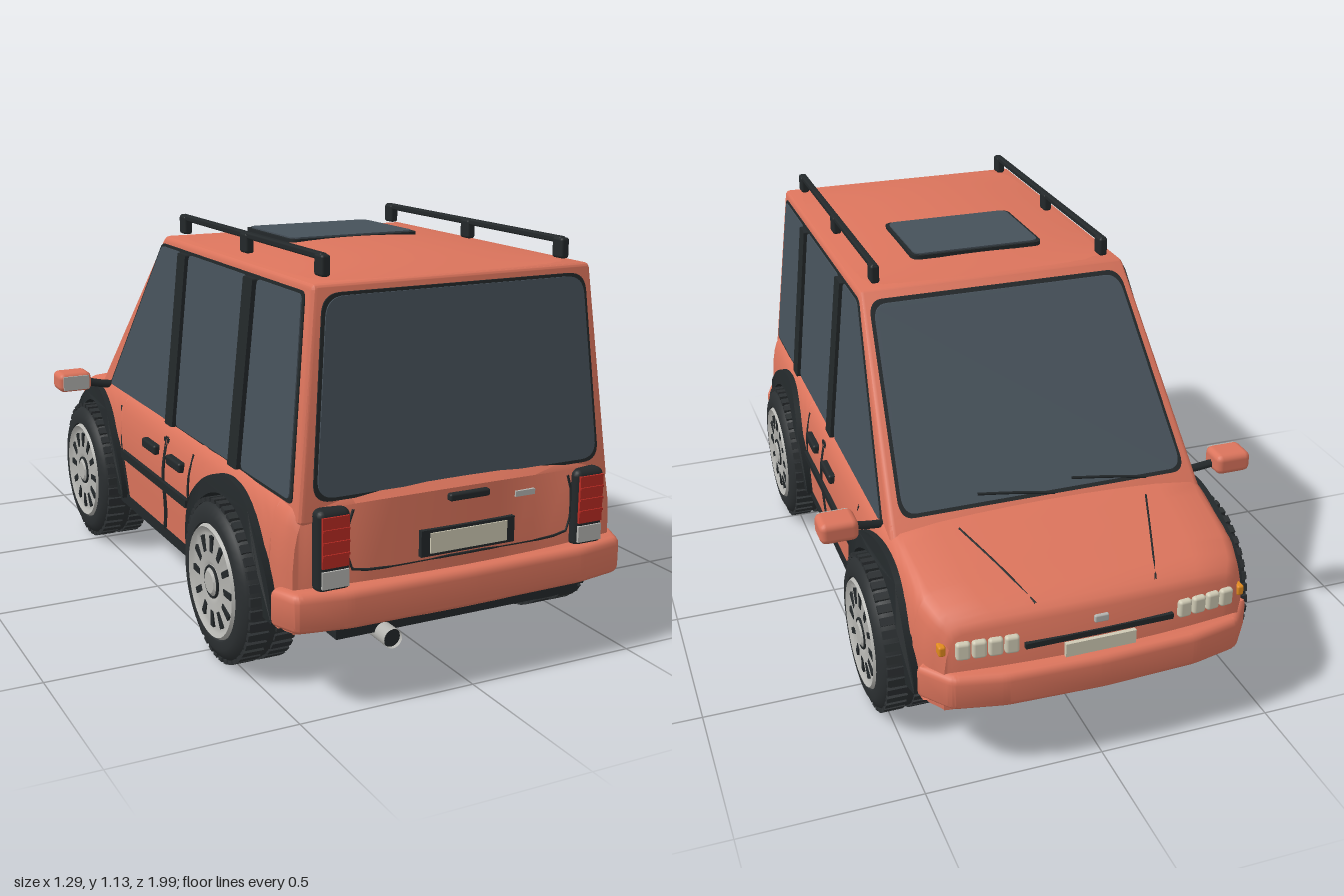
import * as THREE from 'three';
import { toCreasedNormals } from 'three/addons/utils/BufferGeometryUtils.js';
import { RoundedBoxGeometry } from 'three/addons/geometries/RoundedBoxGeometry.js';

const mat = (color) => new THREE.MeshStandardMaterial({ color, side: THREE.DoubleSide });
const paint = mat(0xdb745c), glass = mat(0x46515a), black = mat(0x23282a), rubber = mat(0x2b2f31),
  metal = mat(0xb4b4b0), red = mat(0xb82a22), cream = mat(0xcfcab4), amber = mat(0xe08a1e);

const lerp = THREE.MathUtils.lerp;
// Piecewise linear function through [input, output] pairs
const table = (pts) => (v) => {
  if (v <= pts[0][0]) return pts[0][1];
  for (let i = 1; i < pts.length; i++) {
    const [a, fa] = pts[i - 1], [b, fb] = pts[i];
    if (v <= b) return lerp(fa, fb, (v - a) / (b - a));
  }
  return pts[pts.length - 1][1];
};
// Lower body rules: half width and top height along z, rounding below the top, curved ends
const halfWidth = table([[-0.955, 0.425], [-0.9, 0.455], [-0.8, 0.48], [-0.5, 0.5], [0.6, 0.505], [0.9, 0.495], [0.95, 0.48]]);
const topY = table([[-0.955, 0.43], [-0.94, 0.45], [-0.9, 0.47], [-0.75, 0.508], [-0.6, 0.54], [-0.5, 0.55], [0.5, 0.54], [0.93, 0.535], [0.95, 0.515]]);
const shoulder = table([[0, 0.88], [0.008, 0.92], [0.03, 0.955], [0.07, 0.98], [0.14, 1], [0.35, 0.98]]);
const sideX = (y, z) => halfWidth(z) * shoulder(topY(z) - y);
const hoodY = (x, z) => topY(z) + 0.015 * (1 - (x / halfWidth(z)) ** 2);
const frontZ = (x) => -0.955 + 0.15 * x * x;
const rearZ = (x) => 0.95 - 0.15 * x * x;
// Cabin planes
const cabinX = (y) => 0.462 - (y - 0.53) * 0.104;
const screenZ = (y) => -0.57 + (y - 0.56) * 0.89;
const tailZ = (y) => 0.921 - (y - 0.53) * 0.078;
const AXLE = 0.565, WHEEL_Y = 0.228, ARCH = 0.255;

function add(parent, name, geo, material, x = 0, y = 0, z = 0) {
  const m = new THREE.Mesh(geo, material);
  m.name = name;
  m.position.set(x, y, z);
  parent.add(m);
  return m;
}
const box = (p, name, m, w, h, d, x, y, z) => add(p, name, new THREE.BoxGeometry(w, h, d), m, x, y, z);
const softBox = (p, name, m, w, h, d, x, y, z) =>
  add(p, name, new RoundedBoxGeometry(w, h, d, 2, Math.min(w, h, d) * 0.3), m, x, y, z);
function line(p, name, m, pts, r = 0.004) {
  const curve = new THREE.CatmullRomCurve3(pts.map((q) => new THREE.Vector3(...q)));
  return add(p, name, new THREE.TubeGeometry(curve, 12, r, 6), m);
}
function roundedShape(pts, r) {
  const v = pts.map((p) => new THREE.Vector2(...p)), s = new THREE.Shape();
  v.forEach((c, i) => {
    const toward = (q) => c.clone().add(q.clone().sub(c).setLength(r));
    const a = toward(v[(i + v.length - 1) % v.length]), b = toward(v[(i + 1) % v.length]);
    if (i) s.lineTo(a.x, a.y); else s.moveTo(a.x, a.y);
    s.quadraticCurveTo(c.x, c.y, b.x, b.y);
  });
  s.closePath();
  return s;
}
function moveVertices(geo, rule) {
  const p = geo.attributes.position;
  for (let i = 0; i < p.count; i++) p.setXYZ(i, ...rule(p.getX(i), p.getY(i), p.getZ(i)));
  geo.computeVertexNormals();
  return geo;
}
// Shape drawn in (-z, y), wrapped on a side surface between two depths
const sidePanel = (shape, surf, inner, outer) => moveVertices(
  new THREE.ExtrudeGeometry(shape, { depth: 1, bevelEnabled: false, curveSegments: 24 }),
  (a, y, t) => [surf(y, -a) + lerp(inner, outer, t), y, -a]);
const zy = (pts, r) => roundedShape(pts.map(([z, y]) => [-z, y]), r);
// Shape drawn in (x, y), laid on a sloping end plane
const endPanel = (pts, r, surf, off) => moveVertices(
  new THREE.ExtrudeGeometry(roundedShape(pts, r), { depth: 1, bevelEnabled: false, curveSegments: 8 }),
  (x, y, t) => [x, y, surf(y) + off * t]);

// Lofted lower body whose lower edge rises over the wheels
function lowerBody() {
  const stations = [];
  for (const c of [-AXLE, AXLE]) {
    stations.push([c - ARCH - 0.001, 0.2], [c + ARCH + 0.001, 0.2]);
    for (let i = 0; i <= 20; i++) {
      const a = Math.PI * i / 20;
      stations.push([c - ARCH * Math.cos(a), WHEEL_Y + ARCH * Math.sin(a)]);
    }
  }
  for (const z of [-0.955, -0.94, -0.92, -0.9, -0.87, 0, 0.87, 0.9, 0.93, 0.95]) stations.push([z, 0.2]);
  stations.sort((a, b) => a[0] - b[0]);
  const bend = (x, z) => z - Math.sign(z) * 0.15 * x * x * THREE.MathUtils.clamp((Math.abs(z) - 0.85) / 0.1, 0, 1);
  const rings = stations.map(([z, low]) => {
    const half = [0, 0.25, 0.5, 0.7, 0.82, 0.9, 0.96, 1].map((t) => {
      const y = lerp(low, topY(z), t);
      return [sideX(y, z), y];
    });
    const edge = half[7][0];
    for (const f of [0.75, 0.5, 0.25]) half.push([edge * f, hoodY(edge * f, z)]);
    const all = [...half, [0, hoodY(0, z)], ...half.reverse().map(([x, y]) => [-x, y])];
    return all.map(([x, y]) => [x, y, bend(x, z)]);
  });
  const tri = [];
  const quad = (a, b, c, d) => tri.push(...a, ...b, ...c, ...a, ...c, ...d);
  for (let s = 0; s + 1 < rings.length; s++)
    for (let i = 0; i + 1 < rings[s].length; i++) quad(rings[s][i], rings[s][i + 1], rings[s + 1][i + 1], rings[s + 1][i]);
  const drop = ([x, , z]) => [x, 0.2, z];
  for (const [ring, flip] of [[rings[0], true], [rings[rings.length - 1], false]])
    for (let i = 0; i + 1 < ring.length; i++) {
      const [a, b] = flip ? [ring[i + 1], ring[i]] : [ring[i], ring[i + 1]];
      quad(a, b, drop(b), drop(a));
    }
  const g = new THREE.BufferGeometry();
  g.setAttribute('position', new THREE.Float32BufferAttribute(tri, 3));
  return toCreasedNormals(g, 0.7);
}

function cabin() {
  const shape = zy([[0.925, 0.48], [0.88, 1.065], [-0.12, 1.065], [-0.57, 0.56], [-0.64, 0.48]], 0.015);
  const g = new THREE.ExtrudeGeometry(shape, { depth: 0.89, bevelSize: 0.016, bevelThickness: 0.016, bevelOffset: -0.016, bevelSegments: 3 });
  return toCreasedNormals(moveVertices(g, (a, y, t) => [(t - 0.445) / 0.461 * cabinX(y), y, -a]), 0.5);
}

function bumper(half, sign) {
  const pts = [...half, ...half.slice(1, -1).reverse().map(([x, z]) => [-x, z])];
  const g = new THREE.ExtrudeGeometry(roundedShape(pts.map(([x, z]) => [x, -z * sign]), 0.02),
    { depth: 0.06, bevelSize: 0.02, bevelThickness: 0.022, bevelOffset: -0.02, bevelSegments: 4 });
  return toCreasedNormals(g.rotateX(-Math.PI / 2), 0.8);
}

function wheel() {
  const g = new THREE.Group();
  g.name = 'wheel';
  const lathe = (pts) => new THREE.LatheGeometry(pts.map((p) => new THREE.Vector2(...p)), 48).rotateZ(-Math.PI / 2);
  add(g, 'tyre', toCreasedNormals(lathe([[0.15, -0.08], [0.19, -0.083], [0.208, -0.075], [0.217, -0.058], [0.219, 0],
    [0.217, 0.058], [0.208, 0.072], [0.185, 0.084], [0.16, 0.082], [0.152, 0.07]]), 0.6), rubber);
  for (let i = 0; i < 40; i++) for (const s of [-1, 1]) {
    const block = new THREE.BoxGeometry(0.058, 0.012, 0.022).translate(s * 0.039, 0.219, 0);
    add(g, 'treadBlock', block.rotateX((i + (s > 0 ? 0.5 : 0)) * Math.PI / 20), rubber);
  }
  add(g, 'rim', toCreasedNormals(lathe([[0, -0.06], [0.15, -0.07], [0.157, 0.078], [0.15, 0.088], [0.14, 0.08], [0.13, 0.076],
    [0.06, 0.084], [0.045, 0.078], [0.03, 0.09], [0, 0.09]]), 0.5), metal);
  for (let i = 0; i < 12; i++)
    add(g, 'rimSlot', new THREE.BoxGeometry(0.012, 0.045, 0.017).translate(0.077, 0.105, 0).rotateX(i * Math.PI / 6), black);
  add(g, 'hubRing', new THREE.TorusGeometry(0.042, 0.004, 6, 24).rotateY(Math.PI / 2), black, 0.082);
  return g;
}

// Everything on the +x side; mirrored for the other
function buildSide() {
  const s = new THREE.Group();
  s.name = 'side';
  for (const c of [-AXLE, AXLE]) {
    const w = wheel();
    w.position.set(0.468, WHEEL_Y, c);
    s.add(w);
    const arch = new THREE.Shape();
    arch.absarc(-c, WHEEL_Y, 0.283, -0.08, Math.PI + 0.08, false);
    arch.absarc(-c, WHEEL_Y, 0.235, Math.PI + 0.08, -0.08, true);
    add(s, 'wheelArch', toCreasedNormals(sidePanel(arch, sideX, -0.1, 0.018), 0.6), black);
    add(s, 'wheelLiner', new THREE.CylinderGeometry(0.25, 0.25, 0.12, 32, 1, true, 0, Math.PI).rotateZ(Math.PI / 2), black, 0.42, WHEEL_Y, c);
  }
  // Side glazing on a dark backing, with pillars
  add(s, 'windowSeal', sidePanel(zy([[0.882, 0.525], [0.845, 1.043], [-0.125, 1.043], [-0.515, 0.525]], 0.02), cabinX, -0.01, 0.003), black);
  const panes = [[[0.87, 0.535], [0.835, 1.035], [0.575, 1.035], [0.575, 0.535]],
    [[0.505, 0.535], [0.505, 1.035], [0.1, 1.035], [0.1, 0.535]],
    [[0.035, 0.535], [0.035, 1.035], [-0.12, 1.035], [-0.495, 0.535]]];
  for (const p of panes) add(s, 'sideWindow', sidePanel(zy(p, 0.02), cabinX, 0, 0.006), glass);
  for (const z of [0.54, 0.068])
    add(s, 'pillar', sidePanel(zy([[z + 0.03, 0.53], [z + 0.03, 1.035], [z - 0.03, 1.035], [z - 0.03, 0.53]], 0.006), cabinX, 0, 0.016), black);
  // Trim, sill, handles and door seams
  add(s, 'sideTrim', sidePanel(zy([[0.285, 0.342], [0.285, 0.368], [-0.285, 0.368], [-0.285, 0.342]], 0.005), sideX, -0.01, 0.012), black);
  box(s, 'sill', black, 0.06, 0.035, 0.66, 0.465, 0.197, -0.01);
  for (const z of [0.185, -0.02]) {
    softBox(s, 'doorHandle', black, 0.025, 0.03, 0.11, sideX(0.447, z) + 0.005, 0.447, z);
    box(s, 'doorLock', black, 0.006, 0.012, 0.012, sideX(0.49, z), 0.49, z + (z > 0.1 ? -0.09 : 0.09));
  }
  const seam = (pts) => line(s, 'doorSeam', black, pts.map(([z, y]) => [sideX(y, z), y, z]));
  seam([[0.29, 0.5], [0.282, 0.42], [0.285, 0.21]]);
  seam([[0.09, 0.5], [0.085, 0.4], [0.09, 0.28], [0.07, 0.21]]);
  seam([[0.075, 0.5], [0.08, 0.4], [0.075, 0.28], [0.06, 0.21]]);
  seam([[-0.335, 0.5], [-0.3, 0.36], [-0.265, 0.21]]);
  // Door mirror
  line(s, 'mirrorArm', black, [[0.44, 0.53, -0.5], [0.49, 0.535, -0.505], [0.56, 0.55, -0.515]], 0.013);
  softBox(s, 'mirrorHousing', paint, 0.108, 0.062, 0.09, 0.592, 0.555, -0.515);
  box(s, 'mirrorGlass', metal, 0.085, 0.045, 0.006, 0.592, 0.555, -0.469);
  // Roof rail
  softBox(s, 'roofRail', black, 0.02, 0.018, 0.93, 0.352, 1.121, 0.365);
  for (const z of [0.82, 0.37, -0.08]) softBox(s, 'railFoot', black, 0.026, 0.055, 0.045, 0.352, 1.1, z);
  // Tail light
  const tz = rearZ(0.385);
  softBox(s, 'tailLightHousing', black, 0.092, 0.215, 0.06, 0.383, 0.415, tz);
  box(s, 'tailLamp', red, 0.074, 0.13, 0.02, 0.383, 0.442, tz + 0.025);
  for (const y of [0.41, 0.442, 0.474]) box(s, 'lampRib', red, 0.074, 0.006, 0.02, 0.383, y, tz + 0.029);
  box(s, 'reverseLamp', metal, 0.074, 0.045, 0.02, 0.383, 0.346, tz + 0.025);
  // Headlamp segments and indicator
  for (let i = 0; i < 4; i++) {
    const x = 0.245 + i * 0.043;
    const lamp = softBox(s, 'headlamp', cream, 0.039, 0.052, 0.03, x, 0.385, frontZ(x));
    lamp.rotation.y = -0.3 * x;
  }
  softBox(s, 'indicator', amber, 0.02, 0.03, 0.03, sideX(0.385, -0.93) - 0.004, 0.385, -0.915);
  // Bonnet crease, wiper and tailgate seam
  line(s, 'bonnetSeam', black, [-0.92, -0.8, -0.7, -0.62].map((z) => {
    const x = 0.17 + (z + 0.92) * 0.36;
    return [x, hoodY(x, z), z];
  }), 0.003);
  line(s, 'tailgateSeam', black, [[0.322, 0.51], [0.335, 0.47], [0.33, 0.36], [0.31, 0.35], [0, 0.35]].map(([x, y]) => [x, y, rearZ(x)]));
  return s;
}

export function createModel() {
  const car = new THREE.Group();
  car.name = 'car';
  add(car, 'lowerBody', lowerBody(), paint);
  add(car, 'cabin', cabin(), paint);
  const roof = new THREE.PlaneGeometry(0.79, 0.99, 16, 16).rotateX(-Math.PI / 2);
  add(car, 'roof', moveVertices(roof, (x, y, z) => [x, 1.063 + 0.031 * (1 - (x / 0.395) ** 2) * (1 - (z / 0.495) ** 4), z + 0.38]), paint);
  const sunroof = (w, d, y) => new THREE.ExtrudeGeometry(
    roundedShape([[-w, -d], [w, -d], [w, d], [-w, d]], 0.03), { depth: 0.012, bevelEnabled: false }).rotateX(-Math.PI / 2).translate(0, y, 0.18);
  add(car, 'sunroofSeal', sunroof(0.205, 0.16, 1.083), black);
  add(car, 'sunroof', sunroof(0.195, 0.15, 1.087), glass);

  // Windscreen and rear window with seals
  const trapezoid = (lo, hi, y0, y1) => [[-lo, y0], [lo, y0], [hi, y1], [-hi, y1]];
  add(car, 'windscreenSeal', endPanel(trapezoid(0.427, 0.385, 0.57, 1.042), 0.04, screenZ, -0.006), black);
  add(car, 'windscreen', endPanel(trapezoid(0.417, 0.376, 0.58, 1.033), 0.04, screenZ, -0.01), glass);
  add(car, 'rearWindowSeal', endPanel(trapezoid(0.428, 0.384, 0.535, 1.042), 0.05, tailZ, 0.005), black);
  add(car, 'rearWindow', endPanel(trapezoid(0.418, 0.375, 0.545, 1.034), 0.05, tailZ, 0.009), glass);
  for (const x of [-0.3, -0.02])
    line(car, 'wiper', black, [[x, 0.575, screenZ(0.575) - 0.015], [x + 0.1, 0.588, screenZ(0.588) - 0.015], [x + 0.22, 0.6, screenZ(0.6) - 0.015]], 0.004);

  // Bumpers and underside
  add(car, 'rearBumper', bumper([[0, 0.99], [0.35, 0.985], [0.49, 0.96], [0.525, 0.87], [0.46, 0.87], [0, 0.9]], 1), paint, 0, 0.235, 0);
  add(car, 'frontBumper', bumper([[0, 1], [0.27, 0.99], [0.41, 0.96], [0.485, 0.865], [0.43, 0.865], [0, 0.9]], -1), paint, 0, 0.235, 0);
  box(car, 'underbody', black, 0.74, 0.3, 1.76, 0, 0.33, 0.02);
  box(car, 'floor', black, 0.94, 0.03, 0.62, 0, 0.198, 0);
  box(car, 'rearValance', black, 0.74, 0.04, 0.06, 0, 0.195, 0.91);
  box(car, 'frontValance', black, 0.78, 0.04, 0.06, 0, 0.205, -0.86);
  const pipe = new THREE.CylinderGeometry(0.026, 0.026, 0.1, 20, 1, true).rotateX(Math.PI / 2);
  add(car, 'exhaust', pipe, metal, -0.235, 0.172, 0.94);
  add(car, 'exhaustInside', new THREE.CircleGeometry(0.025, 20), black, -0.235, 0.172, 0.98);

  // Tailgate fittings
  box(car, 'rearPlateFrame', black, 0.28, 0.07, 0.016, 0, 0.396, 0.952);
  box(car, 'rearPlate', cream, 0.23, 0.054, 0.016, 0, 0.396, 0.956);
  softBox(car, 'tailgateHandle', black, 0.12, 0.02, 0.03, 0, 0.508, 0.95);
  box(car, 'rearBadge', metal, 0.06, 0.015, 0.014, 0.177, 0.486, rearZ(0.177));
  // Nose fittings
  box(car, 'grilleSlot', black, 0.42, 0.016, 0.02, 0, 0.372, -0.95);
  softBox(car, 'noseBadge', metal, 0.04, 0.022, 0.014, 0, 0.415, -0.957);
  box(car, 'frontPlate', cream, 0.2, 0.05, 0.016, 0, 0.332, -0.958);

  const left = buildSide(), right = left.clone();
  left.name = 'leftSide';
  right.name = 'rightSide';
  right.scale.x = -1;
  car.add(left, right);
  return car;
}
